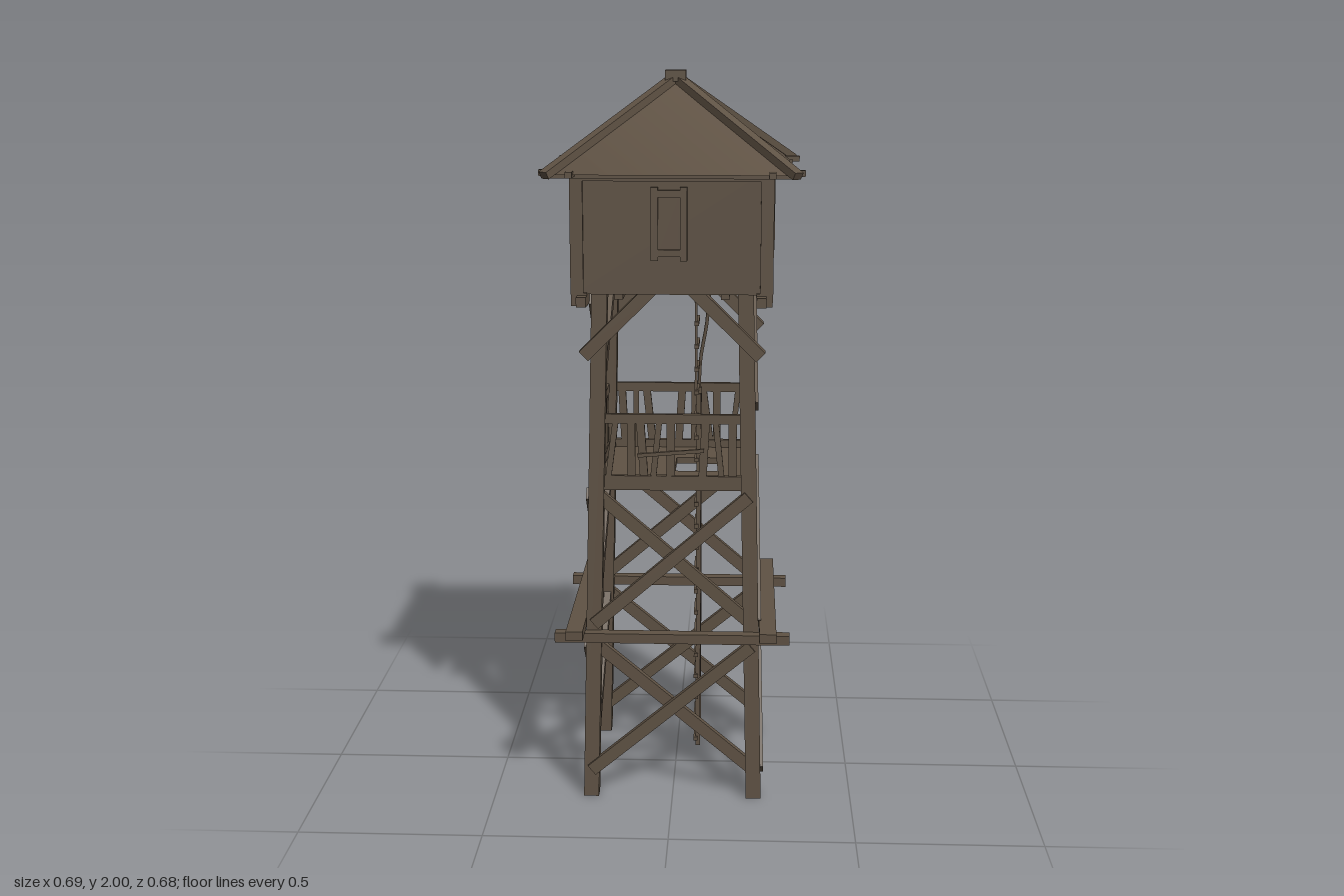
import * as THREE from 'three';

const wood = new THREE.MeshStandardMaterial({ color: 0x5f5244, side: THREE.DoubleSide });
wood.name = 'weatheredWood';

export function createModel() {
  const tower = new THREE.Group();
  tower.name = 'watchtower';
  const V = (x, y, z) => new THREE.Vector3(x, y, z);

  function add(geo, name, parent = tower) {
    const m = new THREE.Mesh(geo, wood);
    m.name = name;
    parent.add(m);
    return m;
  }
  function box(name, w, h, d, x, y, z, parent) {
    const m = add(new THREE.BoxGeometry(w, h, d), name, parent);
    m.position.set(x, y, z);
    return m;
  }
  // Timber from a to b: w across the face, d along the outward direction
  function beam(name, a, b, w, d, out, parent) {
    const dir = b.clone().sub(a), len = dir.length();
    dir.normalize();
    const side = dir.clone().cross(out).normalize();
    const face = side.clone().cross(dir).normalize();
    const m = add(new THREE.BoxGeometry(w, len, d), name, parent);
    m.quaternion.setFromRotationMatrix(new THREE.Matrix4().makeBasis(side, dir, face));
    m.position.copy(a).add(b).multiplyScalar(0.5);
    return m;
  }
  // One face of the tower, facing +z, turned to its side
  function face(name, turn) {
    const g = new THREE.Group();
    g.name = name;
    g.rotation.y = turn * Math.PI / 2;
    tower.add(g);
    return g;
  }
  // Distance of a leg's centre from the axis at height y
  const legAt = y => 0.228 - 0.034 * y / 1.42;
  const OUT = V(0, 0, 1);

  // Four legs leaning inwards
  for (const sx of [-1, 1]) for (const sz of [-1, 1])
    beam('leg', V(sx * 0.228, 0, sz * 0.228), V(sx * 0.194, 1.43, sz * 0.194), 0.042, 0.042, OUT);

  const names = ['front', 'left', 'back', 'right'];
  for (let i = 0; i < 4; i++) {
    const g = face(names[i] + 'Frame', i);
    const isSide = i % 2 === 1;

    // Crossed braces
    const bays = [[0.08, 0.45], [0.51, 0.875]];
    if (isSide) bays.push([1.12, 1.41]);
    for (const [y0, y1] of bays) for (const s of [-1, 1]) {
      const o = s * 0.011 + 0.008;
      beam('crossBrace', V(-s * legAt(y0), y0, legAt(y0) + o), V(s * legAt(y1), y1, legAt(y1) + o), 0.034, 0.02, OUT, g);
    }
    // Knee braces under the cabin
    if (!isSide) for (const s of [-1, 1])
      beam('kneeBrace', V(s * 0.235, 1.262, 0.228), V(s * 0.055, 1.44, 0.228), 0.034, 0.04, OUT, g);

    // Gallery railing with worn, uneven boards
    const z = legAt(1) + 0.005;
    box('topRail', 0.38, 0.026, 0.014, 0, 1.086, z, g);
    box('bottomRail', 0.38, 0.04, 0.016, 0, 0.908, z, g);
    const tilt = [0.025, 0, -0.012, 0.02, 0, 0.01, -0.02, 0];
    const xs = [-0.165, -0.112, -0.082, -0.045, -0.005, 0.085, 0.125, 0.162];
    xs.forEach((x, k) => {
      const t = tilt[(k + i * 3) % 8];
      beam('railBoard', V(x - t / 2, 0.9, z), V(x + t / 2, 1.09, z), k % 3 ? 0.022 : 0.016, 0.01, OUT, g);
    });
    if (isSide) beam('looseBoard', V(-0.02, 0.92, z + 0.008), V(0.105, 1.06, z + 0.008), 0.022, 0.01, OUT, g);
    if (i === 0) beam('looseBoard', V(-0.095, 0.985, z + 0.008), V(0.085, 1.0, z + 0.008), 0.01, 0.008, OUT, g);
  }

  // Horizontal beams around the legs
  for (const s of [-1, 1]) {
    box('crossBeam', 0.645, 0.027, 0.032, 0, 0.478, s * 0.25);
    box('sideBeam', 0.046, 0.026, 0.67, s * 0.262, 0.508, 0);
  }

  // Floors with a ladder hatch
  function floor(name, half, y, h, hatch) {
    const s = new THREE.Shape();
    s.moveTo(-half, -half).lineTo(half, -half).lineTo(half, half).lineTo(-half, half).closePath();
    const [x0, x1, zz] = hatch;
    const p = new THREE.Path();
    p.moveTo(x0, -zz).lineTo(x0, zz).lineTo(x1, zz).lineTo(x1, -zz).closePath();
    s.holes.push(p);
    const geo = new THREE.ExtrudeGeometry(s, { depth: h, bevelEnabled: false });
    geo.rotateX(-Math.PI / 2);
    add(geo, name).position.y = y;
  }
  floor('galleryFloor', 0.2, 0.888, 0.018, [0, 0.13, 0.075]);
  floor('cabinFloor', 0.25, 1.43, 0.018, [0, 0.13, 0.075]);

  // Ladder
  const ladder = new THREE.Group();
  ladder.name = 'ladder';
  tower.add(ladder);
  box('ladderRail', 0.013, 1.05, 0.012, 0.066, 0.595, -0.048, ladder);
  box('ladderRail', 0.013, 1.05, 0.012, 0.066, 0.595, 0.042, ladder);
  box('upperRail', 0.007, 0.33, 0.008, 0.058, 1.28, 0.042, ladder);
  const bent = new THREE.CatmullRomCurve3([V(0.064, 1.1, -0.048), V(0.068, 1.2, -0.048), V(0.086, 1.31, -0.048), V(0.095, 1.45, -0.048)]);
  add(new THREE.TubeGeometry(bent, 12, 0.005, 5), 'bentRail', ladder);
  for (let y = 0.093; y < 1.42; y += 0.0645)
    box('rung', 0.012, 0.011, 0.115, 0.06, y, -0.003, ladder);

  // Cabin walls, corner trim and sills
  const wallY = 1.595, wallH = 0.33;
  for (let i = 0; i < 4; i++) {
    const g = face(names[i] + 'Wall', i);
    box('wall', 0.51, wallH, 0.012, 0, wallY, 0.25, g);
    for (const s of [-1, 1]) box('cornerTrim', 0.034, wallH, 0.012, s * 0.248, wallY, 0.259, g);
    box('topTrim', 0.47, 0.02, 0.008, 0, 1.735, 0.259, g);
    if (i === 2) {
      // Plank wall
      for (const x of [-0.14, -0.03, 0.05, 0.15]) box('wallBatten', 0.018, 0.3, 0.012, x, 1.59, 0.259, g);
    } else {
      // Shuttered window with a raised frame
      const cx = i === 1 ? 0.013 : -0.007;
      for (const s of [-1, 1]) box('windowPost', 0.019, 0.19, 0.018, cx + s * 0.038, 1.615, 0.262, g);
      for (const y of [1.693, 1.54]) box('windowRail', 0.06, 0.018, 0.014, cx, y, 0.261, g);
      box('shutter', 0.05, 0.136, 0.005, cx, 1.617, 0.257, g);
    }
  }
  for (const s of [-1, 1]) {
    box('cabinSill', 0.042, 0.035, 0.53, s * 0.243, 1.417, 0);
    box('sillEnd', 0.026, 0.026, 0.6, s * 0.235, 1.415, 0);
    box('floorJoist', 0.022, 0.022, 0.48, s * 0.14, 1.425, 0);
  }

  // Pyramid roof with smooth shading
  const roof = new THREE.ConeGeometry(0.314 * Math.SQRT2, 0.235, 4, 1, true);
  roof.rotateY(Math.PI / 4);
  add(roof, 'roof').position.y = 1.862;

  // Hip rafters and peak cap
  for (const sx of [-1, 1]) for (const sz of [-1, 1])
    beam('hipRafter', V(sx * 0.323, 1.744, sz * 0.323), V(0, 1.982, 0), 0.03, 0.02, V(0, 1, 0));
  box('peakCap', 0.056, 0.03, 0.056, 0, 1.985, 0);

  // Eave purlins sticking out past the roof
  for (const s of [-1, 1]) {
    box('eavePurlin', 0.688, 0.016, 0.017, 0, 1.746, s * 0.255);
    box('eavePurlin', 0.018, 0.016, 0.682, s * 0.259, 1.746, 0);
    box('purlinSleeve', 0.648, 0.012, 0.034, 0, 1.738, s * 0.255);
  }
  return tower;
}
